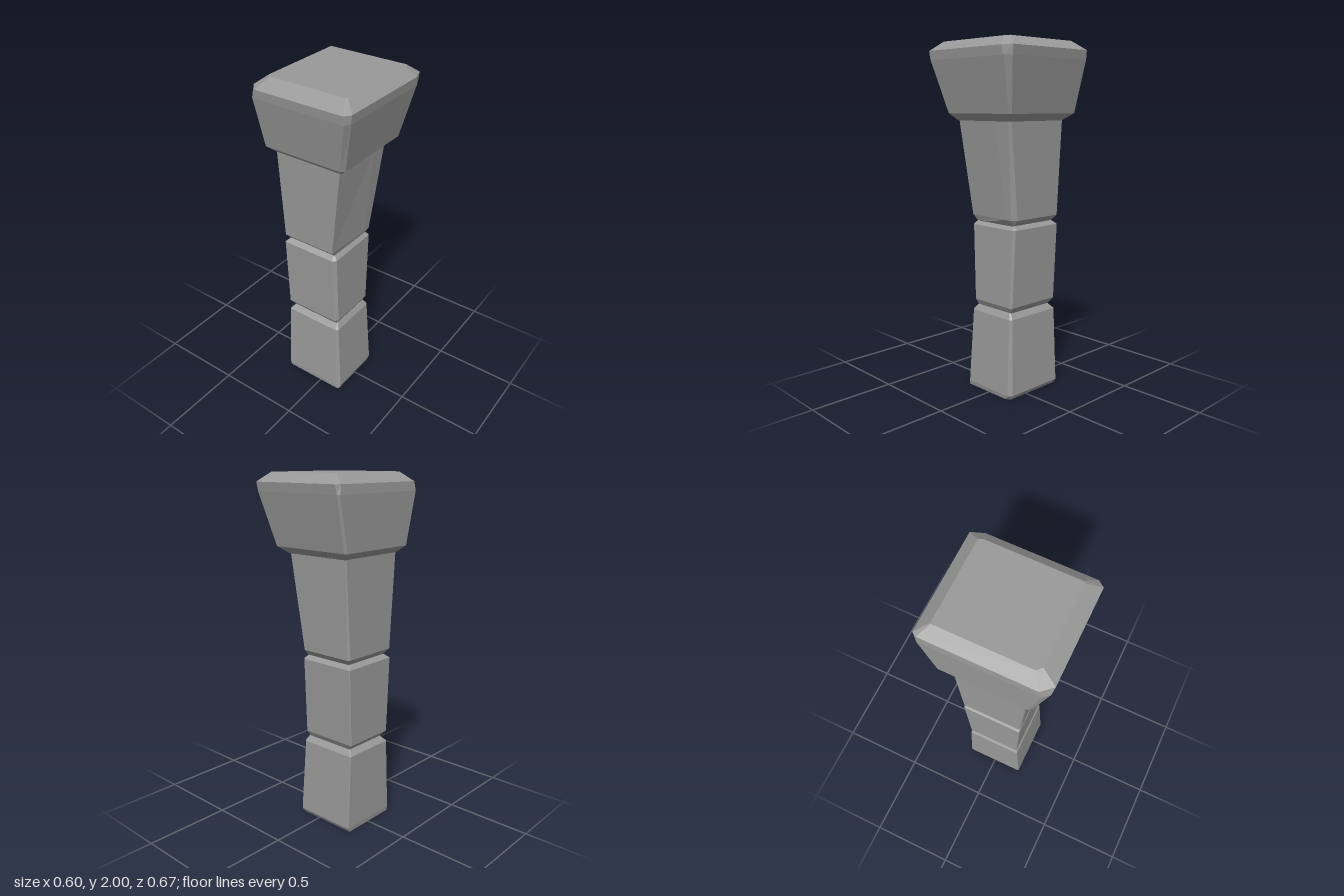
import * as THREE from 'three';

// Horizontal section: bounds plus a [dx, dz] corner cut for
// front +x, back +x, back -x and front -x.
function ring([y, x0, x1, z0, z1], cuts) {
  const [a, b, c, d] = cuts;
  return [
    [x1 - a[0], y, z1], [x1, y, z1 - a[1]],
    [x1, y, z0 + b[1]], [x1 - b[0], y, z0],
    [x0 + c[0], y, z0], [x0, y, z0 + c[1]],
    [x0, y, z1 - d[1]], [x0 + d[0], y, z1],
  ];
}

// Joins the sections from bottom to top and closes both ends.
function stoneBlock(name, sections, material) {
  const rings = sections.map(([bounds, cuts]) => ring(bounds, cuts));
  const positions = [];
  const tri = (...pts) => pts.forEach((p) => positions.push(...p));
  for (let r = 0; r + 1 < rings.length; r++) {
    const low = rings[r], high = rings[r + 1];
    for (let i = 0; i < 8; i++) {
      const j = (i + 1) % 8;
      tri(low[i], low[j], high[j]);
      tri(low[i], high[j], high[i]);
    }
  }
  const bottom = rings[0], top = rings[rings.length - 1];
  for (let i = 1; i < 7; i++) {
    tri(bottom[0], bottom[i + 1], bottom[i]);
    tri(top[0], top[i], top[i + 1]);
  }
  const geometry = new THREE.BufferGeometry();
  geometry.setAttribute('position', new THREE.Float32BufferAttribute(positions, 3));
  geometry.computeVertexNormals();
  const mesh = new THREE.Mesh(geometry, material);
  mesh.name = name;
  return mesh;
}

export function createModel() {
  const stone = new THREE.MeshStandardMaterial({ color: 0x999999, flatShading: true });
  stone.name = 'grey stone';

  const sharp = [0.004, 0.004], chip = [0.012, 0.012], worn = [0.02, 0.02];
  const plain = [sharp, sharp, sharp, sharp];
  const frontWorn = [worn, chip, sharp, sharp];

  const group = new THREE.Group();
  group.name = 'stonePillar';

  // Base, slightly wider at the foot
  group.add(stoneBlock('baseBlock', [
    [[0, -0.24, 0.14, -0.165, 0.18], [chip, [0.025, 0.025], sharp, sharp]],
    [[0.025, -0.243, 0.145, -0.18, 0.183], [worn, worn, sharp, sharp]],
    [[0.465, -0.24, 0.12, -0.16, 0.163], [chip, chip, sharp, sharp]],
    [[0.498, -0.21, 0.1, -0.135, 0.135], plain],
  ], stone));

  // Middle block
  group.add(stoneBlock('middleBlock', [
    [[0.495, -0.21, 0.095, -0.135, 0.135], plain],
    [[0.53, -0.24, 0.113, -0.155, 0.16], frontWorn],
    [[0.975, -0.243, 0.11, -0.175, 0.175], frontWorn],
    [[1.0, -0.215, 0.085, -0.15, 0.145], plain],
  ], stone));

  // Upper block, flaring towards the cap; its +x side is slightly turned
  group.add(stoneBlock('upperBlock', [
    [[0.995, -0.215, 0.09, -0.15, 0.145], plain],
    [[1.03, -0.243, 0.113, -0.18, 0.178], [[0.018, 0.29], [0.025, 0.025], chip, chip]],
    [[1.575, -0.242, 0.172, -0.205, 0.208], [[0.005, 0.3], chip, sharp, sharp]],
  ], stone));

  // Heavy cap with a broad bevel around the top
  group.add(stoneBlock('capBlock', [
    [[1.57, -0.24, 0.175, -0.205, 0.21], plain],
    [[1.61, -0.29, 0.222, -0.26, 0.255], [worn, chip, chip, worn]],
    [[1.9, -0.303, 0.293, -0.328, 0.327], [[0.02, 0.03], [0.02, 0.045], chip, [0.03, 0.035]]],
    [[1.95, -0.3, 0.3, -0.337, 0.335], [[0.025, 0.035], [0.025, 0.07], [0.015, 0.025], [0.05, 0.055]]],
    [[2, -0.235, 0.24, -0.27, 0.257], [[0.01, 0.01], [0.01, 0.025], sharp, [0.025, 0.025]]],
  ], stone));

  return group;
}
